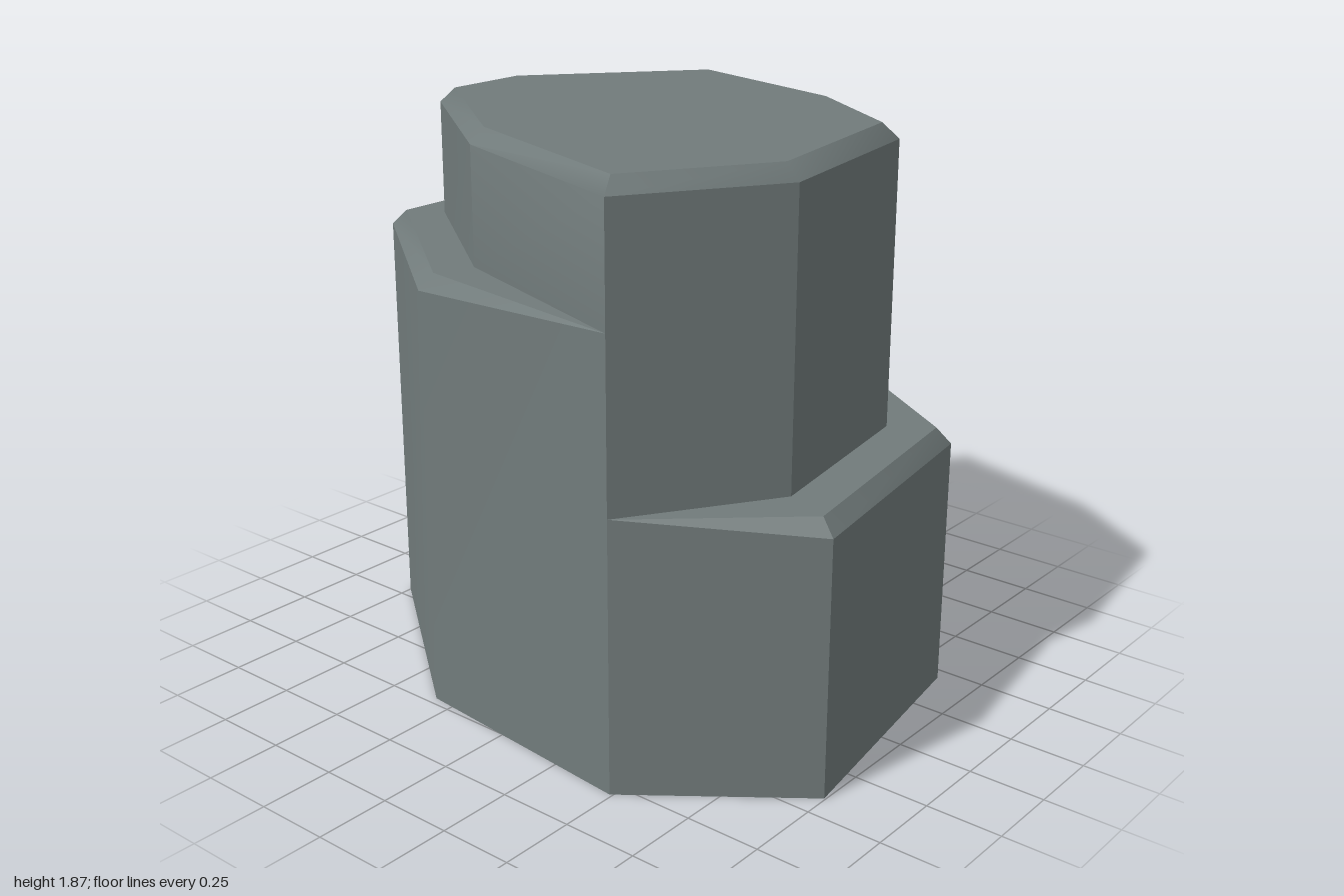
import * as THREE from 'three';
import { toCreasedNormals } from 'three/addons/utils/BufferGeometryUtils.js';

// Plan outlines as [x, z]; each half runs counter-clockwise seen from above
const LEFT = [0.77, -0.37], RIGHT = [-0.8, 0.49];
const halves = [
  { // front
    step: 0.89, start: RIGHT, end: LEFT,
    outer: [[-0.41, 0.995], [0.45, 0.86], [0.8, 0.34]],
    inset: [[-0.39, 0.945], [0.43, 0.815], [0.75, 0.33]],
    tower: [[-0.33, 0.79], [0.34, 0.685], [0.6, 0.28]],
  },
  { // back
    step: 1.44, start: LEFT, end: RIGHT,
    outer: [[0.31, -1], [-0.205, -1], [-0.72, -0.33]],
    inset: [[0.285, -0.955], [-0.18, -0.955], [-0.675, -0.31]],
    tower: [[0.22, -0.83], [-0.12, -0.83], [-0.55, -0.26]],
  },
];
const TOP = 1.87, BEVEL = 0.05;
const topOutline = [
  [-0.75, 0.47], [-0.32, 0.74], [0.31, 0.64], [0.56, 0.26],
  [0.72, -0.35], [0.2, -0.78], [-0.1, -0.78], [-0.51, -0.24],
];

const at = ([x, z], y) => new THREE.Vector3(x, y, z);

// Collects triangles, skipping those that collapse at shared end points
function triangle(out, a, b, c) {
  if (a.equals(b) || b.equals(c) || c.equals(a)) return;
  for (const p of [a, b, c]) out.push(p.x, p.y, p.z);
}

// Joins a lower row of points to an upper row
function strip(out, low, high) {
  for (let i = 0; i < low.length - 1; i++) {
    triangle(out, low[i], low[i + 1], high[i + 1]);
    triangle(out, low[i], high[i + 1], high[i]);
  }
}

function cap(out, ring) {
  for (let i = 1; i < ring.length - 1; i++) triangle(out, ring[0], ring[i], ring[i + 1]);
}

function makeMesh(name, positions, material) {
  const geometry = new THREE.BufferGeometry();
  geometry.setAttribute('position', new THREE.Float32BufferAttribute(positions, 3));
  const mesh = new THREE.Mesh(toCreasedNormals(geometry, THREE.MathUtils.degToRad(40)), material);
  mesh.name = name;
  return mesh;
}

export function createModel() {
  const stone = new THREE.MeshStandardMaterial({ color: 0x717b7b });
  stone.name = 'slate grey';
  const base = [], tower = [], floor = [], shoulder = [];

  for (const { step, start, end, outer, inset, tower: wall } of halves) {
    const row = (points, y, endY = y) =>
      [at(start, endY), ...points.map((p) => at(p, y)), at(end, endY)];
    const rim = row(outer, step - BEVEL, step);
    const ledge = row(inset, step);
    const foot = row(wall, step);
    const ground = row(outer, 0);
    const neck = row(wall, TOP - BEVEL);

    strip(base, ground, rim);   // outer wall
    strip(base, rim, ledge);    // tapering bevel
    strip(base, ledge, foot);   // flat ledge
    strip(tower, foot, neck);   // upper wall
    floor.push(...ground.slice(0, -1));
    shoulder.push(...neck.slice(0, -1));
  }
  cap(base, floor.reverse());

  // Bevelled top of the upper block
  const lid = topOutline.map((p) => at(p, TOP));
  strip(tower, [...shoulder, shoulder[0]], [...lid, lid[0]]);
  cap(tower, lid);

  const group = new THREE.Group();
  group.name = 'steppedBlock';
  group.add(makeMesh('steppedBase', base, stone), makeMesh('upperBlock', tower, stone));
  return group;
}
